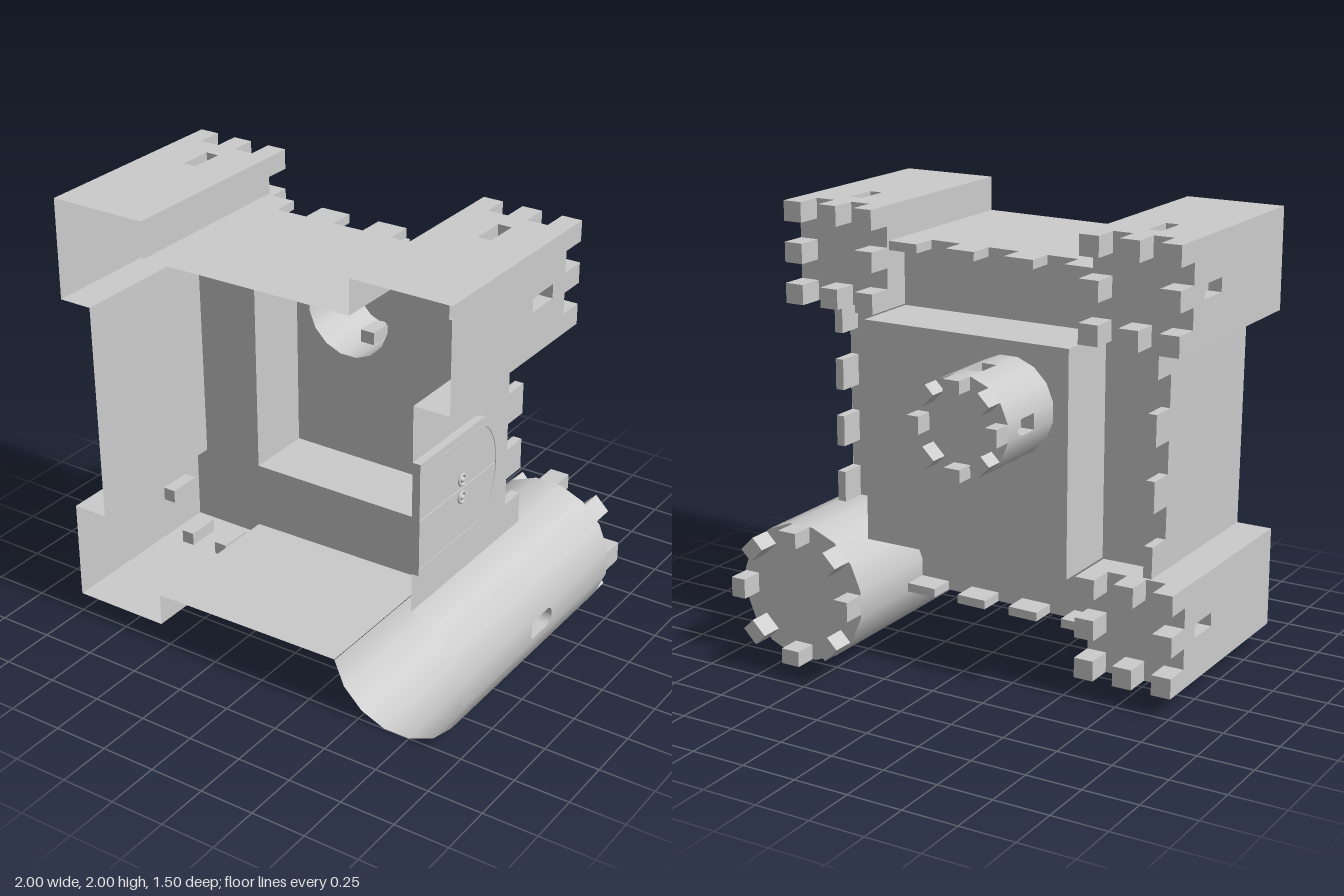
import * as THREE from 'three';

const mat = new THREE.MeshStandardMaterial({ color: 0xcccccc, side: THREE.DoubleSide });
const BASE = 0.75;                                   // the open foot lies at z = 0.75, height runs to -z
const WALK = 0.735, TOWER = 0.87, KEEP = 1.055;      // heights of walkway, tower floors, keep roof

function add(parent, geo, name, x = 0, y = 0, z = 0) {
  const m = new THREE.Mesh(geo, mat);
  m.name = name;
  m.position.set(x, y, z);
  parent.add(m);
  return m;
}

// Group whose axes are: along the wall, up the castle, outward
function frame(root, p, q, name) {
  const u = new THREE.Vector3(q[0] - p[0], q[1] - p[1], 0).normalize();
  const v = new THREE.Vector3(0, 0, -1);
  const g = new THREE.Group();
  g.quaternion.setFromRotationMatrix(new THREE.Matrix4().makeBasis(u, v, u.clone().cross(v)));
  g.position.set(p[0], p[1], BASE);
  g.name = name;
  root.add(g);
  return g;
}
const dist = (p, q) => Math.hypot(q[0] - p[0], q[1] - p[1]);

// Rectangle, optionally with an elliptical top
function outline(x, y, w, h, arch = 0) {
  const pts = [[x, y], [x + w, y]];
  if (!arch) pts.push([x + w, y + h], [x, y + h]);
  else for (let i = 0; i <= 16; i++) {
    const a = Math.PI * i / 16;
    pts.push([x + w / 2 + Math.cos(a) * w / 2, y + h - arch + Math.sin(a) * arch]);
  }
  return pts.map(c => new THREE.Vector2(c[0], c[1]));
}

// Recess behind a window opening
function pocket(g, pts, depth) {
  const pos = [];
  pts.forEach((a, i) => {
    const b = pts[(i + 1) % pts.length];
    pos.push(a.x, a.y, 0, b.x, b.y, -depth, b.x, b.y, 0, a.x, a.y, 0, a.x, a.y, -depth, b.x, b.y, -depth);
  });
  const geo = new THREE.BufferGeometry();
  geo.setAttribute('position', new THREE.Float32BufferAttribute(pos, 3));
  geo.computeVertexNormals();
  add(g, geo, 'windowReveal');
  add(g, new THREE.ShapeGeometry(new THREE.Shape(pts)), 'windowBack', 0, 0, -depth);
}

// Flat wall from p to q between two heights, with recessed windows; radius gives smooth round normals
function wall(root, p, q, h0, h1, name, windows = [], radius = 0) {
  const g = frame(root, p, q, name), L = dist(p, q);
  const shape = new THREE.Shape(outline(0, h0, L, h1 - h0));
  for (const w of windows) {
    const pts = outline(w.u - w.w / 2, w.y, w.w, w.h, w.arch);
    shape.holes.push(new THREE.Path(pts));
    pocket(g, pts, 0.06);
  }
  const geo = new THREE.ShapeGeometry(shape);
  if (radius) {
    const apothem = Math.sqrt(radius * radius - L * L / 4);
    const P = geo.attributes.position, N = geo.attributes.normal;
    for (let i = 0; i < P.count; i++) {
      const n = new THREE.Vector3(P.getX(i) - L / 2, 0, apothem).normalize();
      N.setXYZ(i, n.x, n.y, n.z);
    }
  }
  add(g, geo, name + 'Face');
  return g;
}

// Flat floor at a height, from world x/y corner points
function floor(root, pts, h, name, hole) {
  const s = new THREE.Shape(pts.map(c => new THREE.Vector2(c[0], c[1])));
  if (hole) s.holes.push(new THREE.Path(hole.map(c => new THREE.Vector2(c[0], c[1]))));
  return add(root, new THREE.ShapeGeometry(s), name, 0, 0, BASE - h);
}
const rect = (x0, y0, x1, y1) => [[x0, y0], [x1, y0], [x1, y1], [x0, y1]];

// Square tower: outer sides reach the ground, inner sides start at the walkway
function squareTower(root, x, y, sides, name) {
  const S = 0.455, t = new THREE.Group();
  t.name = name;
  root.add(t);
  const c = [[x, y], [x, y + S], [x + S, y + S], [x + S, y]];        // clockwise
  c.forEach((p, i) => {
    const us = sides[i];
    const windows = (us || []).map(u => ({ u, w: 0.062, y: 0.61, h: 0.16 }));
    wall(t, p, c[(i + 1) % 4], us ? 0 : WALK, TOWER, 'towerSide', windows);
  });
  floor(t, c, TOWER, 'towerFloor');
  for (let i = 0; i < 3; i++) for (let j = 0; j < 3; j++) {
    if (i === 1 && j === 1) continue;
    add(t, new THREE.BoxGeometry(0.09, 0.09, 0.12), 'merlon',
      x + 0.045 + i * 0.1825, y + 0.045 + j * 0.1825, BASE - TOWER - 0.06);
  }
}

// Sixteen-sided round tower; startHeight(k) gives the foot of each facet
function roundTower(root, cx, cy, apothem, h1, startHeight, win, merlon, name) {
  const t = new THREE.Group();
  t.name = name;
  root.add(t);
  const R = apothem / Math.cos(Math.PI / 16);
  const ring = [];
  for (let k = 0; k < 16; k++) {
    const a = Math.PI / 16 - k * Math.PI / 8;                        // clockwise
    ring.push([cx + R * Math.cos(a), cy + R * Math.sin(a)]);
  }
  ring.forEach((p, k) => {
    const q = ring[(k + 1) % 16], h0 = startHeight(k);
    const windows = k % 4 === 0 && h0 < win.y ? [{ ...win, u: dist(p, q) / 2 }] : [];
    wall(t, p, q, h0, h1, 'roundSide', windows, R);
  });
  floor(t, ring, h1, 'roundFloor');
  for (let k = 0; k < 8; k++) {
    const a = k * Math.PI / 4, r = apothem - merlon.d / 2;
    add(t, new THREE.BoxGeometry(merlon.d, merlon.w, merlon.h), 'merlon',
      cx + r * Math.cos(a), cy + r * Math.sin(a), BASE - h1 - merlon.h / 2).rotation.z = a;
  }
  return ring;
}

// Curtain wall with a row of four merlons
function curtain(root, p, q, name) {
  const g = wall(root, p, q, 0, WALK, name), L = dist(p, q), w = 0.14;
  for (let i = 0; i < 4; i++)
    add(g, new THREE.BoxGeometry(w, 0.12, 0.04), 'merlon', w / 2 + i * (L - w) / 3, WALK + 0.06, -0.02);
}

function door(root) {
  const g = frame(root, [0.75, 1.3], [0.75, 0.8], 'door');
  const slab = (shape, d, name) =>
    add(g, new THREE.ExtrudeGeometry(shape, { depth: d, bevelEnabled: false }), name);
  const rim = new THREE.Shape(outline(0, 0, 0.5, 0.615, 0.165));
  rim.holes.push(new THREE.Path(outline(0.03, 0.001, 0.44, 0.584, 0.15)));
  slab(rim, 0.035, 'doorFrame');
  slab(new THREE.Shape(outline(0.03, 0.001, 0.44, 0.584, 0.15)), 0.028, 'doorBack');
  // the two leaves, with a narrow gap between them
  for (const s of [-1, 1]) {
    const pts = [new THREE.Vector2(0.25 + s * 0.004, 0.001), new THREE.Vector2(0.25 + s * 0.217, 0.001)];
    for (let i = 0; i <= 8; i++) {
      const a = Math.PI / 2 * i / 8;
      pts.push(new THREE.Vector2(0.25 + s * (0.004 + 0.213 * Math.cos(a)), 0.435 + 0.147 * Math.sin(a)));
    }
    slab(new THREE.Shape(pts), 0.034, 'doorLeaf');
    const u = 0.25 + s * 0.04;
    add(g, new THREE.TorusGeometry(0.023, 0.006, 8, 20), 'doorRing', u, 0.315, 0.037);
    add(g, new THREE.SphereGeometry(0.011, 12, 8), 'doorKnob', u, 0.315, 0.037);
    add(g, new THREE.BoxGeometry(0.007, 0.04, 0.007), 'doorLatch', u, 0.335, 0.04);
  }
}

export function createModel() {
  const root = new THREE.Group();
  root.name = 'castle';

  // Corner towers (window positions listed per outer side: left, top, right, bottom)
  squareTower(root, -1, 1.545, [[0.2275], [0.2275], null, null], 'topLeftTower');
  squareTower(root, 0.457, 1.545, [null, [0.2275], [0.2275], null], 'topRightTower');
  squareTower(root, -1, 0.09, [[0.2275], null, null, [0.135, 0.325]].map((s, i) => s && (i === 3 ? [0.135, 0.325] : s)), 'bottomLeftTower');
  roundTower(root, 0.69, 0.312, 0.31, 1.23, k => (k <= 7 || k >= 13 ? 0 : WALK),
    { w: 0.085, y: 0.56, h: 0.17, arch: 0.042 }, { d: 0.07, w: 0.09, h: 0.105 }, 'bigRoundTower');

  // Short returns where the towers stand proud of the curtain walls
  const returns = [
    [[-0.545, 2], [-0.545, 1.835]], [[0.457, 1.845], [0.457, 2]],
    [[0.912, 1.545], [0.75, 1.545]], [[-0.545, 0.24], [-0.545, 0.09]],
    [[-1, 0.545], [-0.835, 0.545]], [[-0.845, 1.545], [-1, 1.545]],
  ];
  for (const [p, q] of returns) wall(root, p, q, 0, WALK, 'towerReturn');

  // Curtain walls
  curtain(root, [-0.545, 1.835], [0.457, 1.845], 'topWall');
  curtain(root, [0.75, 1.545], [0.752, 0.622], 'rightWall');
  curtain(root, [0.38, 0.253], [-0.545, 0.24], 'bottomWall');
  curtain(root, [-0.835, 0.545], [-0.845, 1.545], 'leftWall');

  // Walkway around the keep, and its short ends inside the towers
  const x0 = -0.54, x1 = 0.455, y0 = 0.55, y1 = 1.54;
  floor(root, [[-0.545, y1], [0.457, y1], [0.457, 1.845], [-0.545, 1.835]], WALK, 'walkway');
  floor(root, [[-0.545, 0.24], [0.38, 0.253], [0.455, 0.5], [x1, y0], [-0.545, y0]], WALK, 'walkway');
  floor(root, [[-0.835, 0.545], [x0, 0.545], [x0, 1.545], [-0.845, 1.545]], WALK, 'walkway');
  floor(root, [[x1, y0], [0.55, 0.585], [0.75, 0.622], [0.75, 1.545], [x1, 1.545]], WALK, 'walkway');
  for (const r of [[-0.635, 1.71, -0.545, 1.835], [0.457, 1.71, 0.55, 1.845],
    [-0.635, 0.24, -0.545, 0.38], [-0.835, 0.455, -0.71, 0.545]])
    floor(root, rect(...r), WALK, 'walkwayEnd');

  // Keep with its round turret opening into it
  const keep = [[x0, y0], [x0, y1], [x1, y1], [x1, y0]];
  keep.forEach((p, i) => wall(root, p, keep[(i + 1) % 4], WALK, KEEP, 'keepSide'));
  const ring = roundTower(root, -0.26, 1.265, 0.21, 1.42, () => KEEP,
    { w: 0.07, y: 1.21, h: 0.13, arch: 0.035 }, { d: 0.055, w: 0.075, h: 0.083 }, 'keepTurret');
  floor(root, keep, KEEP, 'keepRoof', ring);

  door(root);
  return root;
}
